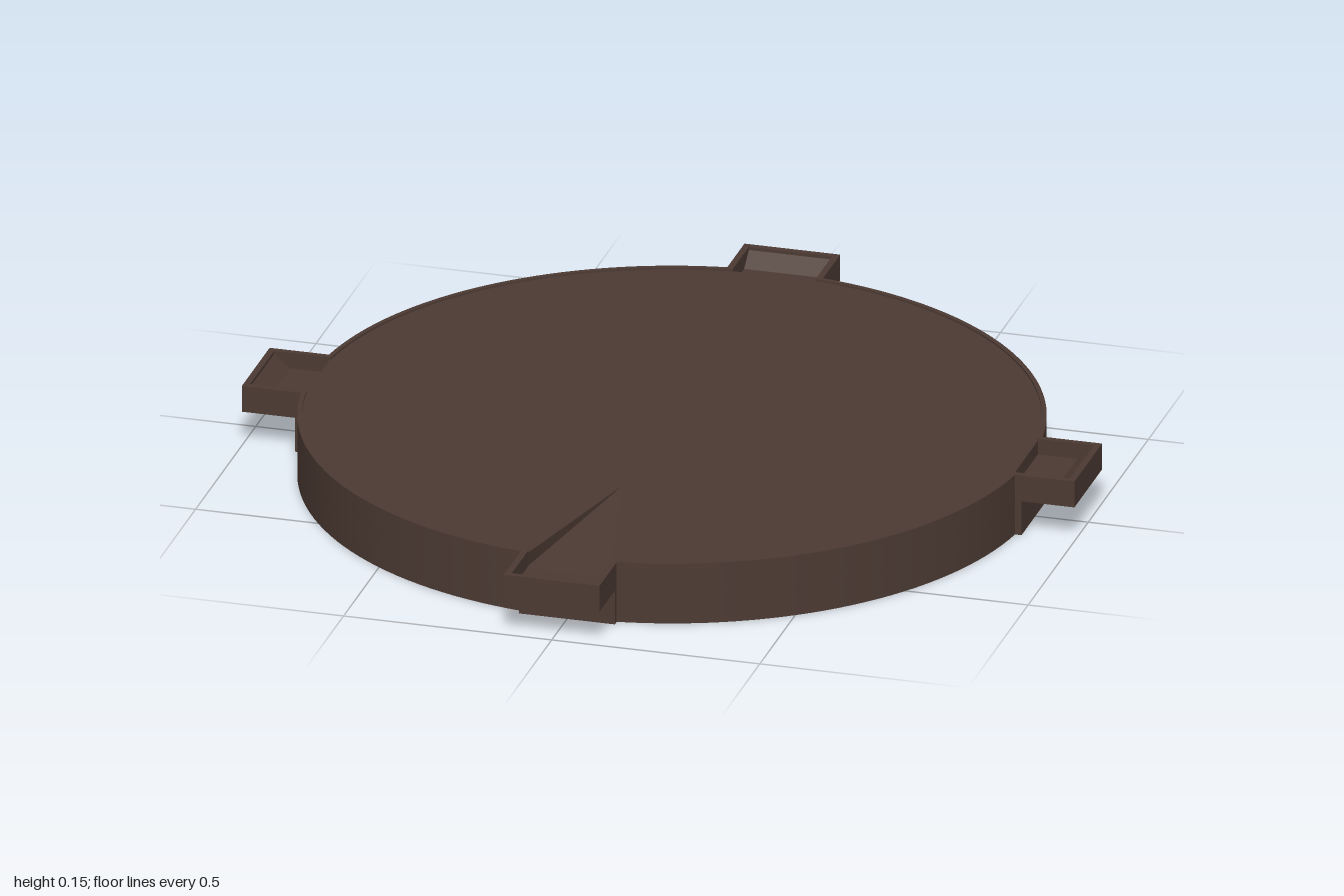
import * as THREE from 'three';
import { toCreasedNormals } from 'three/addons/utils/BufferGeometryUtils.js';

const QUARTER = Math.PI / 2;
const RADIUS = 0.865;
const INNER = 0.854;
const SHELF = 0.085; // underside of the spouts
const TOP = 0.15;
const FLOOR = 0.145; // pan surface, just under the rim
const CEILING = 0.108; // underside of the pan inside the hollow base
const TROUGH = 0.111; // sunken floor of the spouts

const polar = (r, a) => new THREE.Vector2(r * Math.cos(a), r * Math.sin(a));

// Circle interrupted at each quarter by the corner points that tab(k) returns
function outline(r, half, tab) {
  const points = [];
  const origin = new THREE.Vector2();
  const gap = Math.asin(half / r);
  const steps = 32;
  for (let k = 0; k < 4; k++) {
    for (const [x, y] of tab(k)) {
      points.push(new THREE.Vector2(x, y).rotateAround(origin, k * QUARTER));
    }
    for (let i = 0; i <= steps; i++) {
      points.push(polar(r, k * QUARTER + gap + (QUARTER - 2 * gap) * i / steps));
    }
  }
  return points;
}

// Flat slab lying between two heights
function slab(shape, bottom, top) {
  const geo = new THREE.ExtrudeGeometry(shape, { depth: top - bottom, bevelEnabled: false });
  geo.rotateX(-QUARTER).translate(0, bottom, 0);
  return toCreasedNormals(geo, 0.5);
}

// Radial profile (distance, height) swept across a width
function sweep(profile, width) {
  const shape = new THREE.Shape(profile.map(([x, y]) => new THREE.Vector2(x, y)));
  const geo = new THREE.ExtrudeGeometry(shape, { depth: width, bevelEnabled: false });
  return geo.translate(0, 0, -width / 2);
}

export function createModel() {
  const model = new THREE.Group();
  const iron = new THREE.MeshStandardMaterial({ color: 0x4c3a33 });
  iron.name = 'dark brown iron';

  const add = (name, geo, turn = 0) => {
    const mesh = new THREE.Mesh(geo, iron);
    mesh.name = name;
    mesh.rotation.y = turn * QUARTER;
    model.add(mesh);
  };

  // Thin wall around the hollow underside, with a flat panel below each spout
  const wall = new THREE.Shape(outline(RADIUS, 0.115, () => [[0.873, -0.115], [0.873, 0.115]]));
  wall.holes.push(new THREE.Path(outline(INNER, 0.1, () => []).reverse()));
  add('wall', slab(wall, 0, SHELF));

  // Thin rim running around the dish and its four spouts
  const rim = new THREE.Shape(outline(RADIUS, 0.115, () => [[1, -0.115], [1, 0.115]]));
  rim.holes.push(new THREE.Path(
    outline(INNER, 0.1, () => [[0.985, -0.1], [0.985, 0.1]]).reverse()));
  add('rim', slab(rim, SHELF, TOP));

  // Pan surface, cut back at the spouts and notched at the front
  const surface = new THREE.Shape(outline(0.858, 0.1, (k) => (
    k === 3 ? [[0.85, -0.1], [0.42, 0], [0.85, 0.1]] : [[0.85, -0.1], [0.85, 0.1]])));
  add('panSurface', slab(surface, CEILING, FLOOR));

  // Sunken spout floors with a sloping outer end
  const spout = sweep([[0.847, CEILING], [0.853, SHELF], [0.985, SHELF], [0.985, TOP - 0.008],
    [0.945, TROUGH], [0.847, TROUGH]], 0.2);
  for (let k = 0; k < 4; k++) add('spoutFloor', spout, k);

  // Ramp descending along the front notch into the front spout
  const ramp = sweep([[0.42, CEILING + 0.001], [0.86, CEILING + 0.001],
    [0.86, TROUGH], [0.42, FLOOR - 0.001]], 0.199);
  add('pouringRamp', ramp, 3);

  return model;
}
